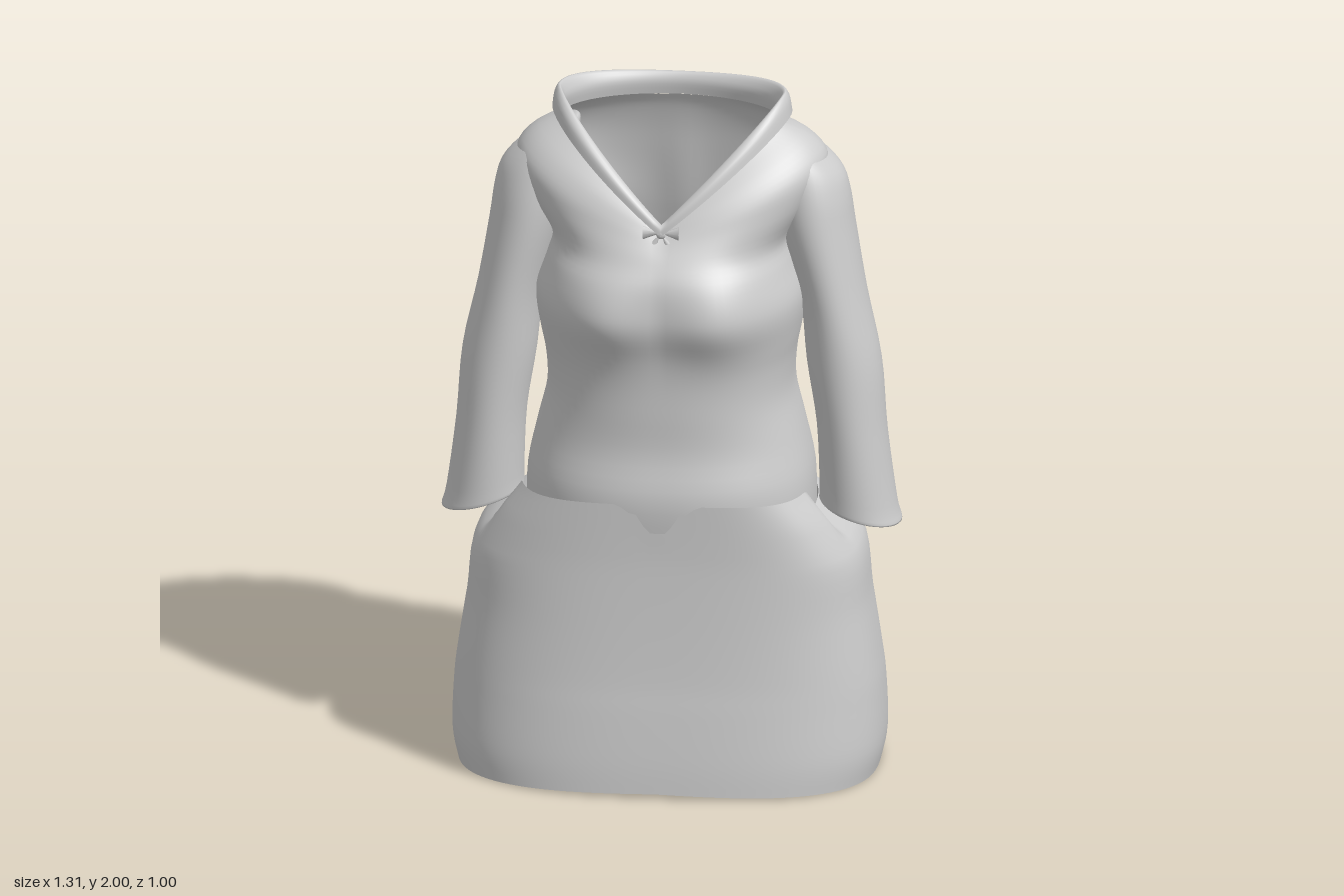
import * as THREE from 'three';

const cloth = new THREE.MeshStandardMaterial({ color: 0xcccccc, side: THREE.DoubleSide });
cloth.name = 'light grey cloth';

const { smoothstep, clamp } = THREE.MathUtils;
const bell = (d, r) => Math.exp(-(d * d) / (r * r));

// Smoothly insert rows of numbers between the given cross-sections
function refine(rows, k) {
  const out = [];
  const at = i => rows[clamp(i, 0, rows.length - 1)];
  for (let i = 0; i < rows.length - 1; i++) {
    for (let j = 0; j < k; j++) {
      const t = j / k;
      out.push(rows[i].map((b, c) => {
        const a = at(i - 1)[c], d = at(i + 1)[c], e = at(i + 2)[c];
        return b + 0.5 * t * (d - a + t * (2 * a - 5 * b + 4 * d - e + t * (3 * (b - d) + e - a)));
      }));
    }
  }
  out.push(rows[rows.length - 1]);
  return out;
}

// Skin a list of closed rings; point(row, sin, cos) gives each vertex
function loft(name, rows, n, point) {
  const pos = [], index = [];
  rows.forEach((row, i) => {
    for (let j = 0; j < n; j++) {
      const a = (j / n) * Math.PI * 2;
      pos.push(...point(row, Math.sin(a), Math.cos(a)));
      if (i < rows.length - 1) {
        const p = i * n + j, q = i * n + (j + 1) % n;
        index.push(p, q, p + n, q, q + n, p + n);
      }
    }
  });
  const geo = new THREE.BufferGeometry();
  geo.setAttribute('position', new THREE.Float32BufferAttribute(pos, 3));
  geo.setIndex(index);
  geo.computeVertexNormals();
  const mesh = new THREE.Mesh(geo, cloth);
  mesh.name = name;
  return mesh;
}

// Ring row: half width, y front/side/back, z front/side/back, squareness front/back
function girth([w, yf, ys, yb, zf, zs, zb, mf, mb], s, c) {
  const m = c > 0 ? mf : mb;
  const r = (Math.abs(s) ** m + Math.abs(c) ** m) ** (-1 / m);
  const k = Math.abs(s * r);
  const y = c > 0 ? ys + (yf - ys) * (1 - k) : ys + (yb - ys) * (1 - k * k);
  const z = zs + Math.abs(c) * r * ((c > 0 ? zf : zb) - zs);
  return [w * s * r, y, z];
}
const level = (w, y, zf, zb, mf = 2.4, mb = 2.3) => [w, y, y, y, zf, 0.07, zb, mf, mb];

// Bust, spine groove and lower back crease
function bodicePoint(row, s, c) {
  let [x, y, z] = girth(row, s, c);
  if (c > 0) {
    z += 0.04 * bell(Math.abs(x) - 0.17, 0.13) * bell(y - 1.42, 0.13);
  } else {
    z += 0.012 * bell(x, 0.06) * bell(y - 1.6, 0.2) + 0.02 * bell(x, 0.05) * bell(y - 0.87, 0.1);
  }
  return [x, y, z];
}

// Raised front waistband with a ragged notch
function skirtPoint(row, s, c) {
  let [x, y, z] = girth(row, s, c);
  const edge = clamp((y - 0.7) / 0.07, 0, 1);
  const notch = 0.06 * (1 - smoothstep(Math.abs(x), 0.02, 0.07)) + 0.025 * (1 - smoothstep(Math.abs(x), 0.08, 0.12));
  y += edge * (0.1 * smoothstep(z, 0.2, 0.28) - (c > 0 ? notch : 0));
  return [x, y, z];
}

function sleeve(side) {
  // y, centre x, radius x, centre z, radius z, slope
  const rows = [
    [0.77, 0.54, 0.09, 0.07, 0.11, -0.25],
    [0.75, 0.54, 0.117, 0.07, 0.133, -0.28],
    [0.8, 0.533, 0.11, 0.07, 0.135, -0.22],
    [1.0, 0.515, 0.1, 0.07, 0.138, -0.1],
    [1.2, 0.492, 0.106, 0.065, 0.143, 0],
    [1.4, 0.46, 0.095, 0.055, 0.152, 0],
    [1.6, 0.415, 0.108, 0.045, 0.158, -0.1],
    [1.72, 0.395, 0.112, 0.045, 0.145, -0.2],
    [1.81, 0.375, 0.108, 0.045, 0.12, -0.4],
    [1.865, 0.345, 0.075, 0.05, 0.08, -0.5],
    [1.885, 0.33, 0.002, 0.05, 0.002, -0.5],
  ];
  return loft(side > 0 ? 'leftSleeve' : 'rightSleeve', refine(rows, 4), 40,
    ([y, cx, rx, cz, rz, slope], s, c) =>
      [side * cx + s * rx, y + slope * s * rx * side, cz + c * rz]);
}

function bow() {
  const group = new THREE.Group();
  group.name = 'bow';
  const add = (name, geo, x, y, rot) => {
    const m = new THREE.Mesh(geo, cloth);
    m.name = name;
    m.position.set(x, y, 0);
    m.rotation.z = rot;
    m.scale.z = 0.6;
    group.add(m);
  };
  add('knot', new THREE.SphereGeometry(0.014, 12, 8), 0, 0, 0);
  for (const s of [-1, 1]) {
    add('loop', new THREE.ConeGeometry(0.02, 0.05, 10), s * 0.026, 0.004, s * Math.PI / 2);
    add('tail', new THREE.ConeGeometry(0.01, 0.035, 8), s * 0.012, -0.016, s * 0.5);
  }
  group.position.set(0, 1.66, 0.35);
  return group;
}

export function createModel() {
  const model = new THREE.Group();
  model.name = 'dress';

  // Bodice, widening over the armpits into the shoulders and closing to the neckline
  const neck = [0.315, 1.665, 1.915, 1.91, 0.32, 0.085, -0.12, 1.4, 1.9];
  const bodice = [
    level(0.41, 0.74, 0.415, -0.3), level(0.407, 0.87, 0.425, -0.285),
    level(0.38, 1.0, 0.4, -0.25), level(0.352, 1.12, 0.4, -0.26),
    level(0.355, 1.22, 0.402, -0.285), level(0.37, 1.3, 0.41, -0.303),
    level(0.382, 1.38, 0.428, -0.285), level(0.378, 1.44, 0.43, -0.24),
    level(0.35, 1.52, 0.42, -0.217),
    [0.34, 1.58, 1.59, 1.6, 0.39, 0.06, -0.2, 2.3, 2.3],
    [0.41, 1.62, 1.7, 1.71, 0.36, 0.055, -0.178, 2.1, 2.3],
    [0.445, 1.64, 1.8, 1.8, 0.343, 0.055, -0.16, 1.9, 2.2],
    [0.4, 1.652, 1.868, 1.87, 0.332, 0.065, -0.14, 1.7, 2.1],
    neck,
  ];
  model.add(loft('bodice', refine(bodice, 4), 96, bodicePoint));

  // Skirt, gathered onto the back of the waist and standing open at the front corners
  const skirt = [
    [0.6, 0.015, 0.0, 0.07, 0.5, 0.1, -0.465, 2.8, 2],
    [0.617, 0.1, 0.09, 0.12, 0.494, 0.1, -0.495, 2.8, 2],
    [0.612, 0.24, 0.24, 0.25, 0.478, 0.1, -0.485, 2.8, 2],
    [0.6, 0.34, 0.34, 0.34, 0.465, 0.1, -0.45, 2.9, 2],
    [0.575, 0.5, 0.5, 0.5, 0.452, 0.1, -0.41, 3, 2.1],
    [0.545, 0.68, 0.68, 0.68, 0.442, 0.1, -0.37, 3.2, 2.2],
    [0.415, 0.77, 0.77, 0.78, 0.442, 0.075, -0.295, 4, 2.3],
  ];
  model.add(loft('skirt', refine(skirt, 5), 128, skirtPoint));

  // Standing collar that folds outward
  const collar = [
    neck,
    [0.305, 1.675, 1.96, 1.95, 0.325, 0.08, -0.115, 1.4, 1.9],
    [0.32, 1.685, 2.0, 1.975, 0.34, 0.075, -0.13, 1.45, 2],
    [0.335, 1.675, 1.98, 1.955, 0.355, 0.07, -0.16, 1.6, 2.1],
    [0.342, 1.655, 1.935, 1.92, 0.358, 0.07, -0.182, 1.65, 2.2],
  ];
  model.add(loft('collar', refine(collar, 4), 96, girth));

  model.add(sleeve(1), sleeve(-1), bow());
  return model;
}
